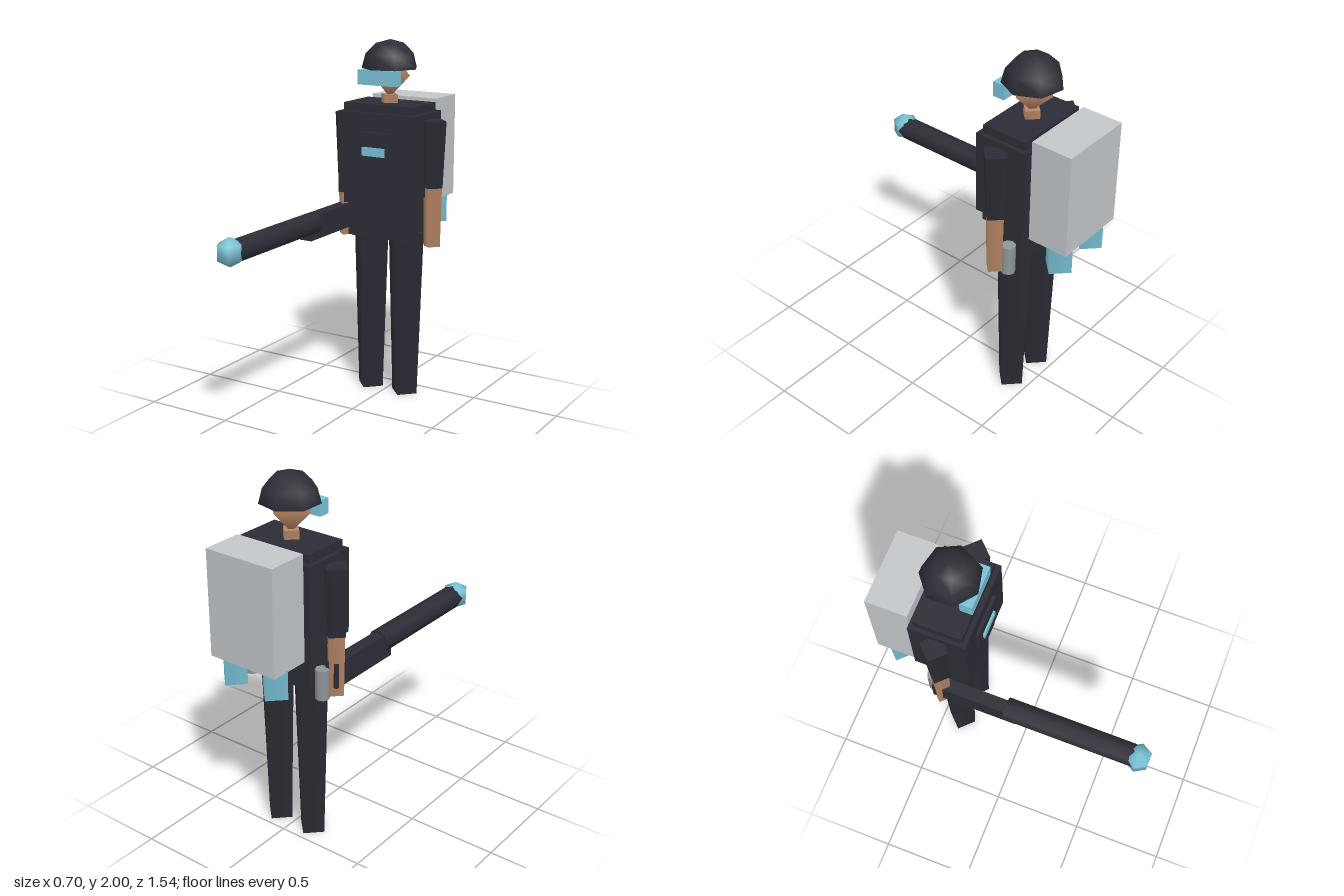
import * as THREE from 'three';

export function createModel() {
  const model = new THREE.Group();
  model.name = 'soldier';

  const mat = (name, color) => {
    const m = new THREE.MeshStandardMaterial({ color });
    m.name = name;
    return m;
  };
  const dark = mat('dark uniform', 0x2d2d37);
  const skin = mat('skin', 0xb98866);
  const cyan = mat('cyan glow', 0x7ac3d8);
  const pale = mat('pale grey', 0xc4c8cb);
  const steel = mat('steel grey', 0x90969c);

  const Z = -0.387; // body axis

  const add = (name, geo, material, x, y, z) => {
    const mesh = new THREE.Mesh(geo, material);
    mesh.name = name;
    mesh.position.set(x, y, z);
    model.add(mesh);
    return mesh;
  };
  // box given by half width, y range and z range
  const box = (name, material, hw, y0, y1, z0, z1, x = 0) =>
    add(name, new THREE.BoxGeometry(hw * 2, y1 - y0, z1 - z0), material, x, (y0 + y1) / 2, (z0 + z1) / 2);
  // upright tapered post given by radii and y range
  const post = (name, material, rTop, rBottom, y0, y1, x, z, sides = 4) =>
    add(name, new THREE.CylinderGeometry(rTop, rBottom, y1 - y0, sides), material, x, (y0 + y1) / 2, z);

  // Torso layers
  box('hips', dark, 0.195, 0.915, 1.11, -0.495, -0.275);
  box('torso', dark, 0.215, 1.1, 1.66, -0.515, -0.26);
  box('vest', dark, 0.237, 1.16, 1.615, -0.54, -0.235);
  box('chestPlate', dark, 0.115, 1.33, 1.513, -0.24, -0.217);
  box('chestLight', cyan, 0.069, 1.385, 1.432, -0.22, -0.206);

  // Head, visor and helmet
  post('neck', skin, 0.052, 0.052, 1.65, 1.706, 0, Z);
  add('head', new THREE.SphereGeometry(0.125, 4, 2), skin, 0, 1.812, Z);
  box('visor', cyan, 0.115, 1.765, 1.845, -0.305, -0.238);
  const helmet = add('helmet',
    new THREE.SphereGeometry(0.156, 7, 3, 0, Math.PI * 2, 0, Math.PI / 2), dark, 0, 1.845, -0.39);
  helmet.rotation.y = Math.PI;
  const rim = add('helmetUnderside', new THREE.CircleGeometry(0.156, 7), dark, 0, 1.845, -0.39);
  rim.rotation.x = Math.PI / 2;

  // Limbs and hip canisters, mirrored
  for (const [side, s] of [['left', 1], ['right', -1]]) {
    post(side + 'Leg', dark, 0.111, 0.08, 0, 0.95, s * 0.112, Z);
    post(side + 'UpperArm', dark, 0.077, 0.06, 1.215, 1.582, s * 0.274, Z);
    post(side + 'Forearm', skin, 0.057, 0.05, 0.887, 1.22, s * 0.274, Z);
    post(side + 'Canister', steel, 0.038, 0.038, 0.87, 1.035, s * 0.233, -0.445, 8);
    post(side + 'Thruster', cyan, 0.08, 0.08, 0.957, 1.115, s * 0.13, -0.682);
  }

  // Backpack
  box('backpack', pale, 0.204, 1.105, 1.675, -0.772, -0.547);

  // Weapon carried in the right hand
  box('weaponStock', dark, 0.035, 0.935, 1.07, -0.425, 0.04, -0.272);
  const barrel = add('weaponBarrel', new THREE.CylinderGeometry(0.063, 0.063, 0.73, 8), dark, -0.267, 1.024, 0.343);
  barrel.rotation.x = Math.PI / 2;
  add('weaponTip', new THREE.SphereGeometry(0.079, 6, 3), cyan, -0.271, 1.026, 0.713);

  return model;
}
